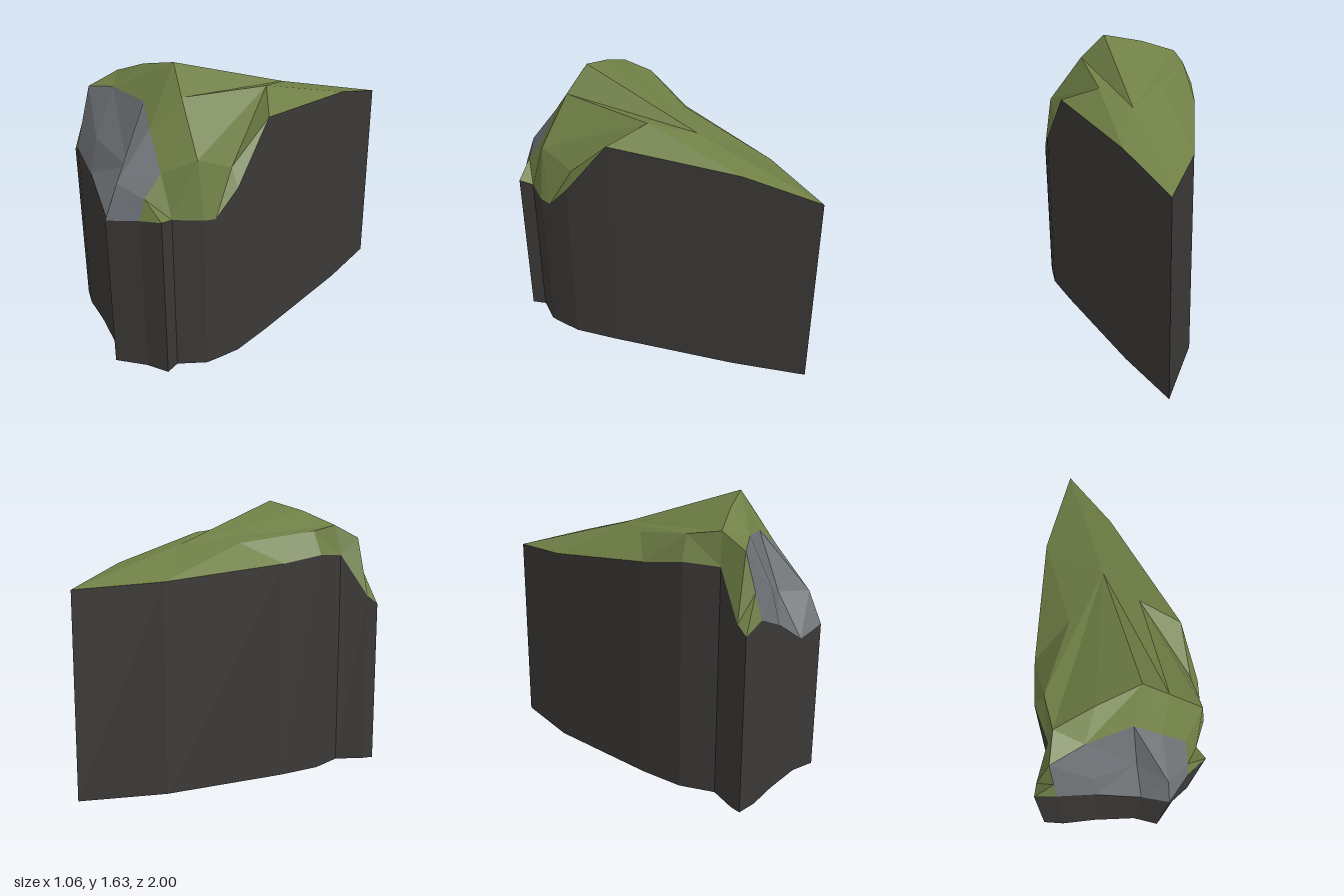
import * as THREE from 'three';

// Rim where the walls meet the top, clockwise from the back tip: x, y, z
const rim = {
  A: [0.13, 1.18, -1], B: [0.27, 1.29, -0.59], C: [0.47, 1.35, 0.14], D: [0.53, 1.03, 0.39],
  E: [0.525, 0.89, 0.53], F: [0.52, 0.9, 0.6], G: [0.43, 0.91, 0.74], H: [0.46, 0.93, 0.82],
  I: [0.34, 0.91, 0.88], J: [0.195, 0.89, 1], K: [0.055, 0.83, 0.925], L: [-0.2, 0.98, 0.87],
  M: [-0.41, 1.06, 0.84], N: [-0.53, 1.0, 0.8], O: [-0.5, 1.05, 0.74], P: [-0.39, 1.31, 0.6],
  Q: [-0.41, 1.32, 0.39], R: [-0.35, 1.28, 0.13], S: [-0.12, 1.21, -0.57],
};

// Points on the rock above the rim
const crown = {
  a: [0.13, 1.635, 0.51], b: [0.13, 1.39, -0.235], c: [0.27, 1.445, 0], d: [0.27, 1.49, 0.556],
  e: [-0.12, 1.575, 0.545], f: [-0.35, 1.49, 0.585], g: [-0.35, 1.46, 0.39], h: [-0.12, 1.395, 0],
  i: [0.47, 1.22, 0.6], j: [0.475, 1.13, 0.39],
  // edge of the bare rock face
  k: [-0.41, 1.41, 0.74], l: [-0.21, 1.45, 0.69], m: [0.055, 1.43, 0.655], n: [0.195, 1.33, 0.71],
  o: [0.34, 1.14, 0.74], p: [-0.41, 1.2, 0.8], q: [0.335, 1.02, 0.84],
  // inside the bare rock face
  r: [-0.2, 1.18, 0.82], s: [0.055, 1.09, 0.78], t: [0.195, 1.08, 0.92],
};

const points = { ...rim, ...crown };
const toVectors = (word) => [...word].map((k) => new THREE.Vector3(...points[k]));
const centre = new THREE.Vector3(0, 0.5, 0.4);

// Flat-shaded mesh from polygons, each fanned from its first corner and turned to face outward
function facetMesh(name, polygons, color) {
  const positions = [];
  for (const poly of polygons) {
    for (let n = 1; n < poly.length - 1; n++) {
      const tri = new THREE.Triangle(poly[0], poly[n], poly[n + 1]);
      const normal = tri.getNormal(new THREE.Vector3());
      const out = tri.getMidpoint(new THREE.Vector3()).sub(centre);
      const corners = normal.dot(out) < 0 ? [tri.a, tri.c, tri.b] : [tri.a, tri.b, tri.c];
      for (const v of corners) positions.push(v.x, v.y, v.z);
    }
  }
  const geometry = new THREE.BufferGeometry();
  geometry.setAttribute('position', new THREE.Float32BufferAttribute(positions, 3));
  geometry.computeVertexNormals();
  const mesh = new THREE.Mesh(geometry, new THREE.MeshStandardMaterial({ color, flatShading: true }));
  mesh.name = name;
  return mesh;
}

export function createModel() {
  const model = new THREE.Group();
  model.name = 'rockyOutcrop';

  // Mossy top: crown, back slopes, right flank, front brow, left flank
  const moss = [
    'bhgfea', 'bad', 'bdc',
    'bASh', 'hSRg', 'gRQ', 'gQPf', 'bcBA', 'cCB',
    'cjC', 'cij', 'cdi', 'jDC', 'jED', 'iFEj', 'iGF', 'iGo', 'oGq', 'qGH', 'qHI',
    'fkl', 'fle', 'ela', 'lma', 'mna', 'and', 'dno', 'doi',
    'fPk', 'POk', 'kOp', 'ONp', 'pNM',
  ];
  model.add(facetMesh('mossyTop', moss.map(toVectors), 0x6f7f45));

  // Bare rock face at the front
  const bare = [
    'kpr', 'pMr', 'MLr', 'krl', 'lrsm', 'rLs', 'LKs', 'KJt', 'Kts',
    'mst', 'mtn', 'nto', 'tqo', 'tJIq',
  ];
  model.add(facetMesh('bareRockFace', bare.map(toVectors), 0x6c7074));

  // Upright walls down to the ground
  const edge = toVectors(Object.keys(rim).join(''));
  const foot = edge.map((v) => new THREE.Vector3(v.x, 0, v.z));
  const walls = edge.map((v, n) => {
    const next = (n + 1) % edge.length;
    return [v, edge[next], foot[next], foot[n]];
  });
  model.add(facetMesh('walls', walls, 0x3b3937));

  // Flat underside
  const outline = foot.map((v) => new THREE.Vector2(v.x, v.z));
  const floor = THREE.ShapeUtils.triangulateShape(outline, []).map((t) => t.map((n) => foot[n]));
  model.add(facetMesh('underside', floor, 0x3b3937));

  return model;
}
